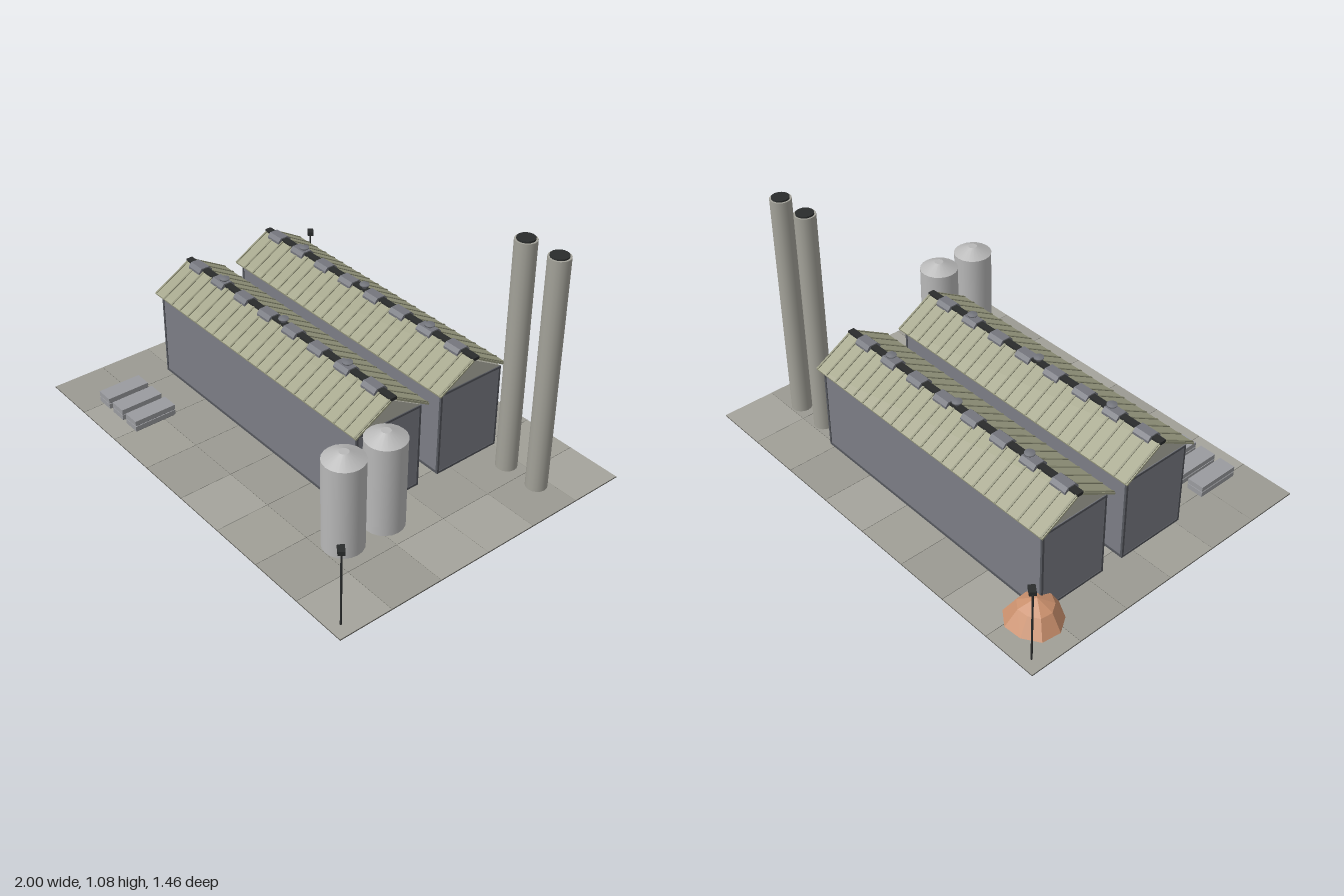
import * as THREE from 'three';

const mat = (color, flat = false) => new THREE.MeshStandardMaterial({ color, flatShading: flat });
const M = {
  wall: mat(0x7b7d85), trim: mat(0x54565c), roof: mat(0xa0a186), rib: mat(0x8e8f76), gable: mat(0xb3b2a6),
  dark: mat(0x2a2c2c), vent: mat(0x74767d), silo: mat(0xb8b8b8), stack: mat(0xa3a299),
  pile: mat(0xc98f6c, true), pallet: mat(0x9a9b9f), base: mat(0x55544f),
};
const tiles = [0xa09f97, 0x9b9a92, 0xa5a49c].map(c => mat(c));

function add(parent, name, geo, material, x = 0, y = 0, z = 0) {
  const m = new THREE.Mesh(geo, material);
  m.name = name;
  m.position.set(x, y, z);
  parent.add(m);
  return m;
}
const box = (w, h, d) => new THREE.BoxGeometry(w, h, d);

// Extrude a z-y outline along x, centred
function extrudeX(points, length) {
  const shape = new THREE.Shape(points.map(p => new THREE.Vector2(p[0], p[1])));
  const g = new THREE.ExtrudeGeometry(shape, { depth: length, bevelEnabled: false });
  return g.translate(0, 0, -length / 2).rotateY(Math.PI / 2);
}

function lathe(points, segments) {
  return new THREE.LatheGeometry(points.map(p => new THREE.Vector2(p[0], p[1])), segments);
}

// One long shed with a pitched roof and ridge vents
function makeShed(z) {
  const g = new THREE.Group();
  g.name = 'shed';
  g.position.set(-0.135, 0, z);
  const L = 1.33, W = 0.33, H = 0.4;
  add(g, 'walls', box(L - 0.006, H - 0.005, W - 0.006), M.wall, 0, H / 2 + 0.0025, 0);
  // Edge trims
  for (const sx of [-1, 1]) {
    for (const sz of [-1, 1])
      add(g, 'cornerTrim', box(0.01, H - 0.01, 0.01), M.trim, sx * (L / 2 - 0.005), H / 2 + 0.005, sz * (W / 2 - 0.005));
    for (const y of [0.01, H - 0.005])
      add(g, 'endTrim', box(0.01, 0.01, W), M.trim, sx * (L / 2 - 0.005), y, 0);
  }
  for (const sz of [-1, 1])
    for (const y of [0.01, H - 0.005])
      add(g, 'sideTrim', box(L, 0.01, 0.01), M.trim, 0, y, sz * (W / 2 - 0.005));
  add(g, 'gable', extrudeX([[-0.165, 0.4], [0.165, 0.4], [0, 0.495]], L - 0.01), M.gable);
  // Roof slopes and their ribs
  for (const s of [-1, 1]) {
    const slope = (lift, t) => {
      const p = [[0.185, 0.403 + lift], [0.187, 0.403 + lift + t], [0.012, 0.504 + lift + t], [0.012, 0.503 + lift]];
      return (s > 0 ? p : p.map(([a, b]) => [-a, b]).reverse());
    };
    add(g, 'roofSlope', extrudeX(slope(0, 0.008), 1.37), M.roof);
    const ribGeo = extrudeX(slope(0.007, 0.005), 0.008);
    for (let i = 0; i < 23; i++) add(g, 'roofRib', ribGeo, M.rib, -0.677 + i * 1.354 / 22, 0, 0);
  }
  // Ridge strip, vents and turbine ventilators
  add(g, 'ridgeStrip', box(1.37, 0.014, 0.03), M.dark, 0, 0.514, 0);
  const saddle = extrudeX([[-0.034, 0.495], [0.034, 0.495], [0.034, 0.51], [0.02, 0.526], [-0.02, 0.526], [-0.034, 0.51]], 0.08);
  for (let i = 0; i < 8; i++) add(g, 'ridgeVent', saddle, M.vent, -0.6 + i * 0.167, 0, 0);
  const turbine = lathe([[0, 0.515], [0.01, 0.515], [0.01, 0.527], [0.022, 0.535], [0.022, 0.541], [0, 0.543]], 12);
  for (const x of [-0.415, 0, 0.41]) add(g, 'turbineVent', turbine, M.vent, x, 0, 0);
  return g;
}

function makeLamp(x, z) {
  const g = new THREE.Group();
  g.name = 'lampPost';
  g.position.set(x, 0, z);
  g.rotation.y = Math.atan2(-x, -z);
  add(g, 'post', new THREE.CylinderGeometry(0.004, 0.004, 0.335, 8), M.dark, 0, 0.1675, 0);
  add(g, 'lampHead', box(0.028, 0.018, 0.04), M.dark, 0, 0.339, 0.018);
  return g;
}

export function createModel() {
  const root = new THREE.Group();
  root.name = 'factory';

  // Paved ground
  add(root, 'groundBase', box(2, 0.003, 1.46), M.base, 0, 0.0015, 0);
  const tileGeo = box(0.248, 0.003, 1.46 / 6 - 0.002);
  for (let i = 0; i < 8; i++)
    for (let j = 0; j < 6; j++)
      add(root, 'pavingSlab', tileGeo, tiles[(i * 2 + j * j + i * j) % 3], -0.875 + i * 0.25, 0.0035, (j - 2.5) * 1.46 / 6);

  root.add(makeShed(0.1), makeShed(-0.335));

  // Chimneys
  for (const x of [0.663, 0.832]) {
    add(root, 'chimney', new THREE.CylinderGeometry(0.046, 0.046, 1.068, 16), M.stack, x, 0.534, -0.435);
    add(root, 'chimneyMouth', new THREE.CylinderGeometry(0.038, 0.038, 0.01, 16), M.dark, x, 1.07, -0.435);
  }

  // Silos
  for (const z of [0.268, 0.468]) {
    add(root, 'siloBody', new THREE.CylinderGeometry(0.085, 0.085, 0.4, 20), M.silo, 0.698, 0.3, z);
    add(root, 'siloRoof', new THREE.CylinderGeometry(0.02, 0.086, 0.032, 20), M.silo, 0.698, 0.516, z);
  }

  // Stacked slabs
  for (const x of [-0.735, -0.628, -0.522])
    for (const y of [0.021, 0.048]) {
      add(root, 'stackedSlab', box(0.078, 0.023, 0.2), M.pallet, x, y, 0.533);
      add(root, 'slabSpacer', box(0.07, 0.006, 0.19), M.trim, x, y - 0.0135, 0.533);
    }

  // Faceted heap with an uneven surface
  const heap = lathe([[0.122, 0.004], [0.075, 0.075], [0, 0.107]], 9);
  const p = heap.attributes.position;
  for (let i = 0; i < p.count; i++) {
    const a = Math.atan2(p.getX(i), p.getZ(i));
    const k = 1 + 0.05 * Math.sin(3 * a + 1);
    p.setXYZ(i, p.getX(i) * k, p.getY(i), p.getZ(i) * k + p.getY(i) * 0.1);
  }
  add(root, 'heap', heap, M.pile, -0.803, 0, -0.535);

  root.add(makeLamp(0.943, 0.68), makeLamp(-0.943, -0.68));
  return root;
}
